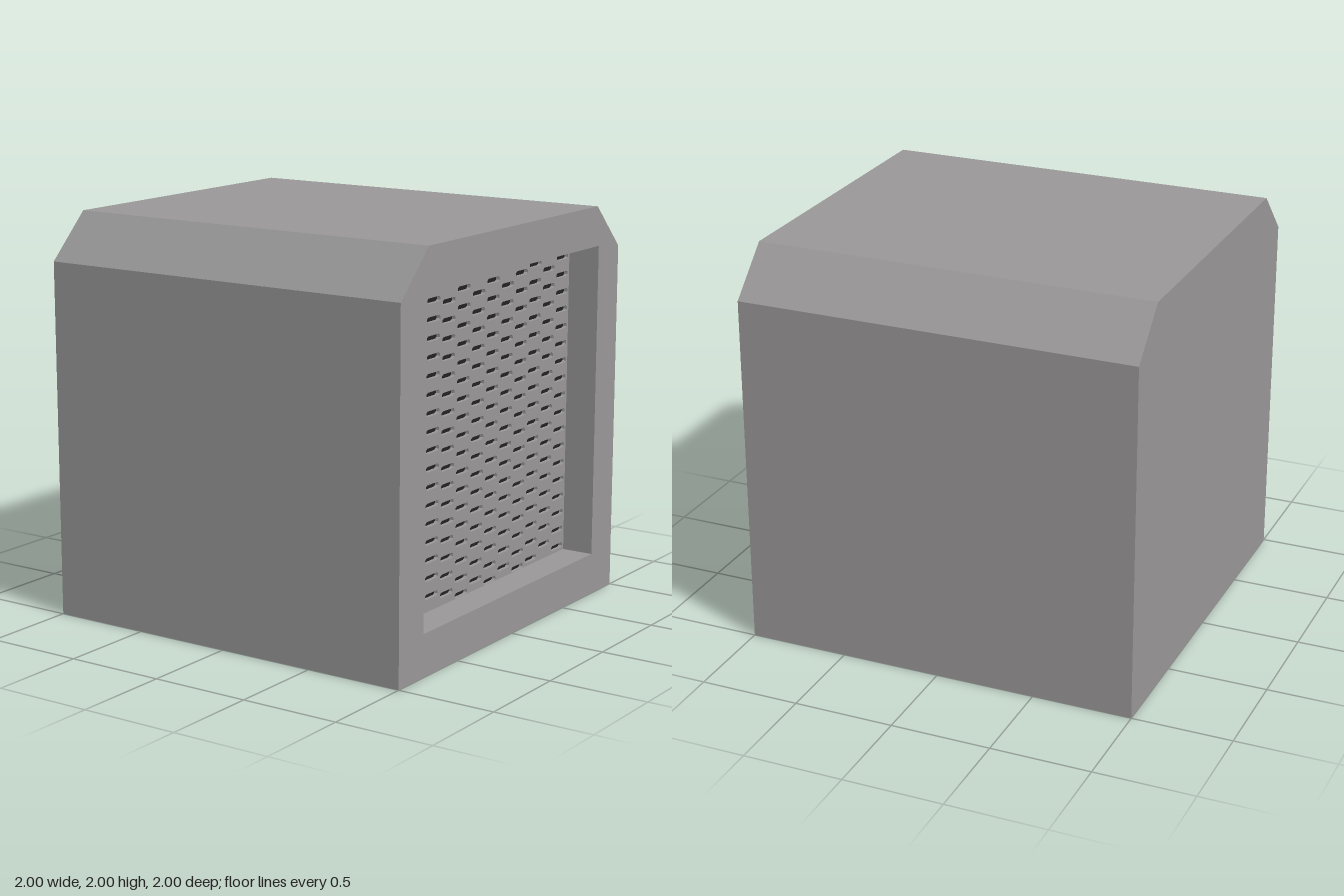
import * as THREE from 'three';

const casing = new THREE.MeshStandardMaterial({ color: 0x999797 });
casing.name = 'casing grey';
const dark = new THREE.MeshStandardMaterial({ color: 0x222222 });
dark.name = 'vent black';

// Recess opening and the depths of its layers along x
const HALF_Z = 0.795, LOW = 0.21, HIGH = 1.8;
const BACK = 0.812, GRILLE_BACK = 0.815, GRILLE_FRONT = 0.835;

// Closed outline from [u, v] pairs
function trace(target, points) {
  return target.setFromPoints(points.map(([u, v]) => new THREE.Vector2(u, v)));
}

// Side outline of the casing, with both upper edges bevelled
function outline() {
  return trace(new THREE.Shape(), [
    [-1, 0], [1, 0], [1, 1.777], [0.775, 2], [-0.775, 2], [-1, 1.777],
  ]);
}

const opening = [[-HALF_Z, LOW], [HALF_Z, LOW], [HALF_Z, HIGH], [-HALF_Z, HIGH]];

// Extrudes a side outline along x; u in the outline runs towards -z
function slab(name, shape, x0, x1, material) {
  const geometry = new THREE.ExtrudeGeometry(shape, { depth: x1 - x0, bevelEnabled: false });
  geometry.rotateY(Math.PI / 2);
  geometry.translate(x0, 0, 0);
  const mesh = new THREE.Mesh(geometry, material);
  mesh.name = name;
  return mesh;
}

// Slim horizontal slot with rounded ends
function slot(u, v) {
  const w = 0.056, h = 0.013, c = 0.045, e = 0.006;
  return trace(new THREE.Path(), [
    [-c, -h], [-w, -e], [-w, e], [-c, h], [c, h], [w, e], [w, -e], [c, -h],
  ].map(([a, b]) => [u + a, v + b]));
}

export function createModel() {
  const model = new THREE.Group();
  model.name = 'ventedBlock';

  // Solid body and the frame round the recess
  model.add(slab('body', outline(), -1, BACK, casing));
  const frame = outline();
  frame.holes.push(trace(new THREE.Path(), opening));
  model.add(slab('recessFrame', frame, BACK, 1, casing));

  // Grille: twelve columns of staggered slots
  const grille = trace(new THREE.Shape(), opening);
  const columnTops = [1.784, 1.738, 1.784, 1.76, 1.714, 1.76, 1.714, 1.76, 1.714, 1.738, 1.784, 1.738];
  columnTops.forEach((top, column) => {
    const z = 0.735 - column * 0.1327;
    for (let row = 0; row < 18; row++) {
      const y = Math.max(top - row * 0.0882, LOW + 0.0145);
      grille.holes.push(slot(-z, y));
    }
  });
  model.add(slab('grille', grille, GRILLE_BACK, GRILLE_FRONT, casing));

  // Dark plate seen through the slots
  const plate = trace(new THREE.Shape(), opening);
  model.add(slab('ventBacking', plate, BACK, GRILLE_BACK, dark));

  return model;
}
